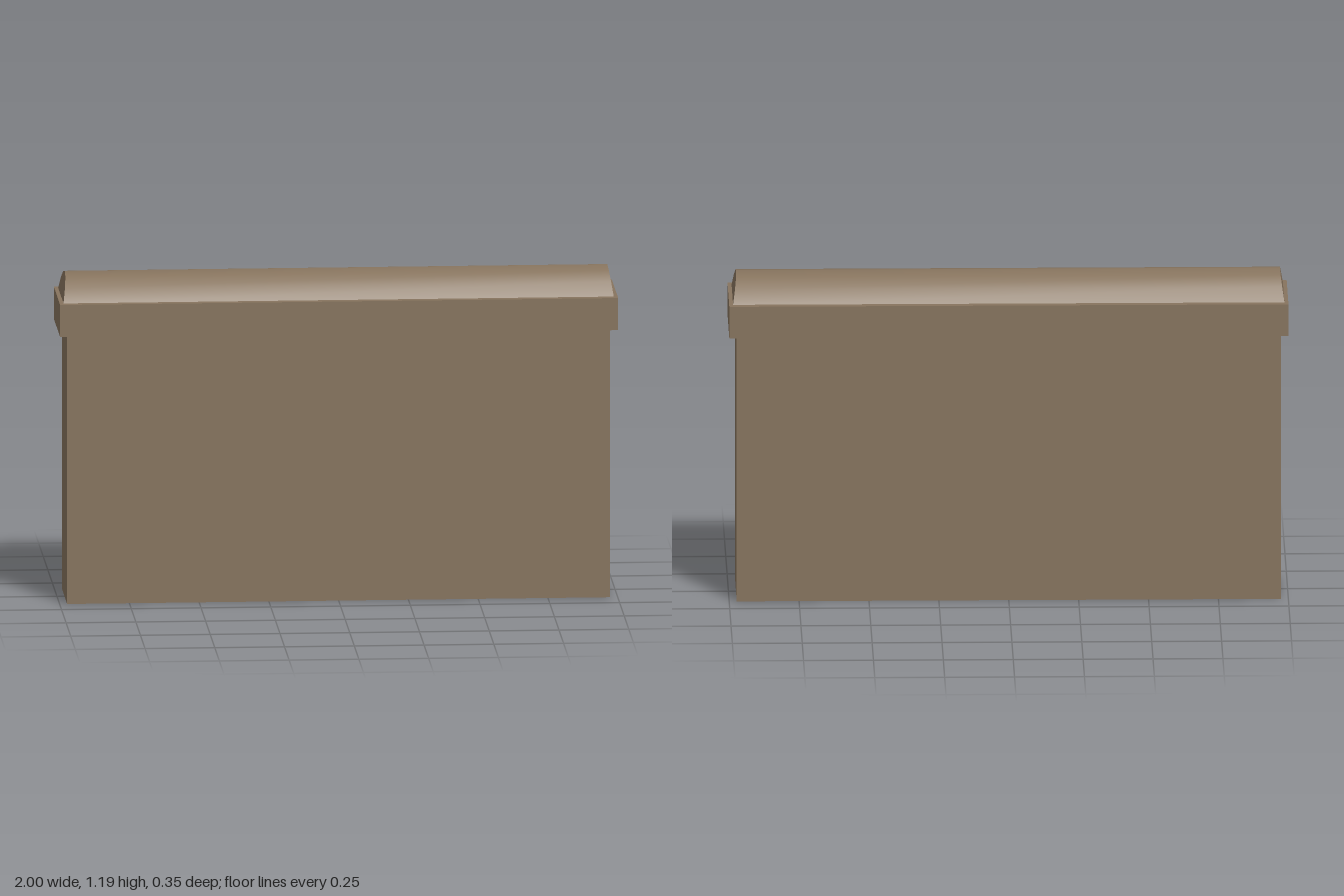
import * as THREE from 'three';
import { toCreasedNormals } from 'three/addons/utils/BufferGeometryUtils.js';

export function createModel() {
  const group = new THREE.Group();
  const stone = new THREE.MeshStandardMaterial({ color: 0x87745e });
  stone.name = 'brown stone';

  const add = (name, geometry) => {
    const mesh = new THREE.Mesh(geometry, stone);
    mesh.name = name;
    group.add(mesh);
    return mesh;
  };

  // Wall body and overhanging coping slab
  const bodyTop = 0.978, slabTop = 1.095;
  add('wallBody', new THREE.BoxGeometry(1.946, bodyTop, 0.292)).position.y = bodyTop / 2;
  add('copingSlab', new THREE.BoxGeometry(2, slabTop - bodyTop, 0.35)).position.y = (bodyTop + slabTop) / 2;

  // Rounded ridge: six-segment arc run along the wall
  const half = 0.146, rise = 0.09, segments = 6;
  const radius = (half * half + rise * rise) / (2 * rise);
  const sweep = Math.asin(half / radius);
  const arc = [];
  for (let i = 0; i <= segments; i++) {
    const a = sweep * (1 - (2 * i) / segments);
    arc.push(new THREE.Vector2(radius * Math.sin(a), radius * Math.cos(a) - radius + rise));
  }
  const ridge = new THREE.ExtrudeGeometry(new THREE.Shape(arc), { depth: 2, bevelEnabled: false });
  ridge.translate(0, 0, -1);
  ridge.rotateY(Math.PI / 2);

  // Ends lean inward towards the crown
  const p = ridge.attributes.position;
  for (let i = 0; i < p.count; i++) {
    p.setX(i, Math.sign(p.getX(i)) * (0.986 - 0.014 * p.getY(i) / rise));
  }
  add('roundedRidge', toCreasedNormals(ridge, 0.7)).position.y = slabTop;

  return group;
}
